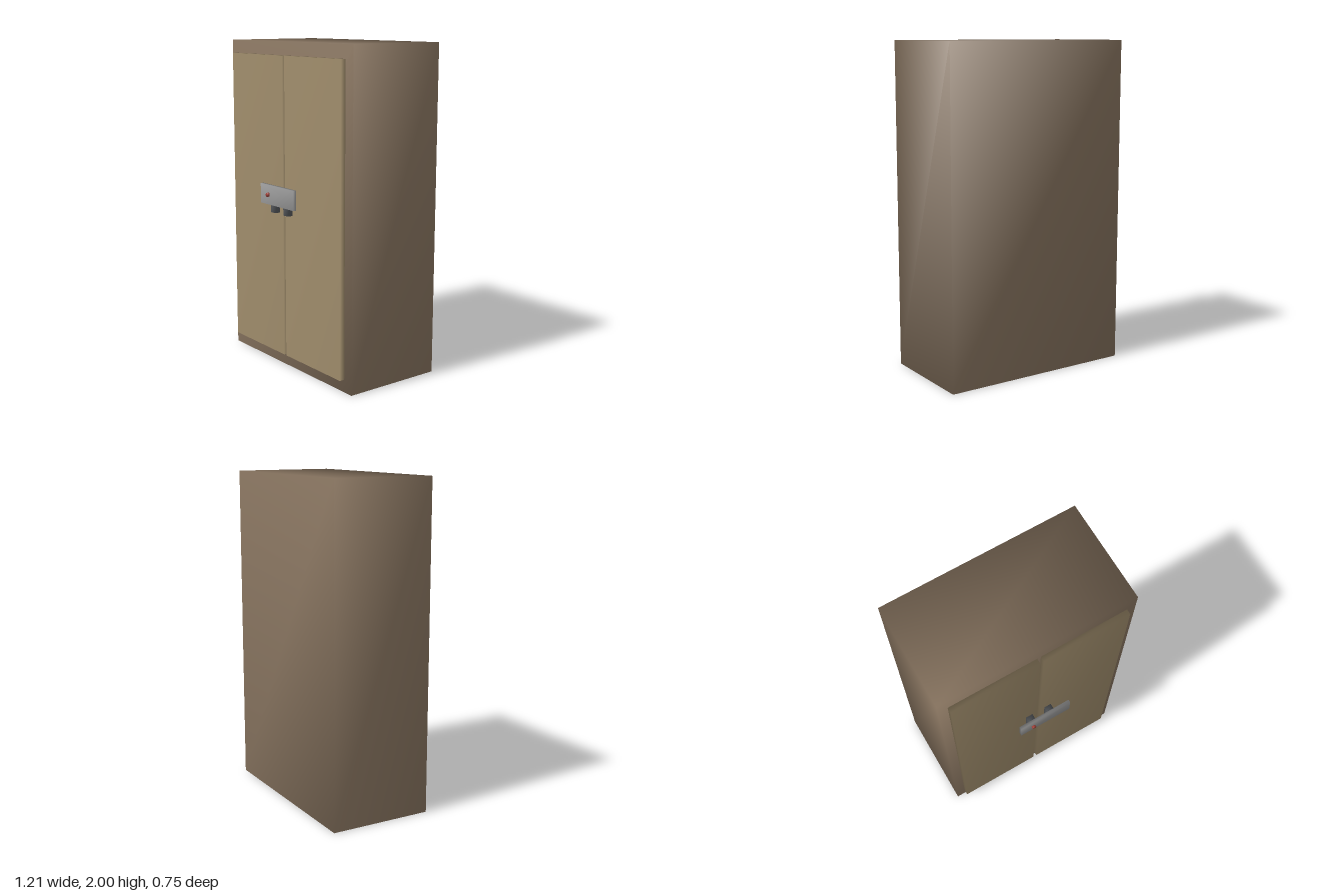
import * as THREE from 'three';
import { mergeVertices } from 'three/addons/utils/BufferGeometryUtils.js';

// Share corners so normals blend softly across the edges
function soften(geometry) {
  geometry.deleteAttribute('normal');
  geometry.deleteAttribute('uv');
  const merged = mergeVertices(geometry);
  merged.computeVertexNormals();
  return merged;
}

export function createModel() {
  const model = new THREE.Group();
  model.name = 'cabinet';

  const paint = (color) => new THREE.MeshStandardMaterial({ color });
  const wood = paint(0x8b7762);
  const doorWood = paint(0xa08d6c);
  const darkMetal = paint(0x55585c);
  const steel = paint(0x9a9a9a);
  const red = paint(0xa04038);

  // Box given by its extents on each axis
  function addBox(name, [x0, x1], [y0, y1], [z0, z1], material) {
    const geometry = soften(new THREE.BoxGeometry(x1 - x0, y1 - y0, z1 - z0));
    const mesh = new THREE.Mesh(geometry, material);
    mesh.name = name;
    mesh.position.set((x0 + x1) / 2, (y0 + y1) / 2, (z0 + z1) / 2);
    model.add(mesh);
  }

  // Cabinet body
  addBox('body', [-0.605, 0.605], [0, 2], [-0.375, 0.26], wood);

  // Pair of doors, each with a handle near the middle gap
  for (const [label, side] of [['left', 1], ['right', -1]]) {
    const span = (a, b) => [side * a, side * b].sort((p, q) => p - q).map((x) => x - 0.002);
    addBox(label + 'Door', span(0.011, 0.546), [0.08, 1.92], [0.265, 0.297], doorWood);
    addBox(label + 'Handle', span(0.042, 0.086), [0.977, 1.107], [0.297, 0.333], darkMetal);
  }

  // Locking bar across both handles
  addBox('lockBar', [-0.158, 0.181], [1.03, 1.15], [0.34, 0.36], steel);

  // Small indicator on the bar
  const light = new THREE.Mesh(soften(new THREE.CylinderGeometry(0.0125, 0.0125, 0.013, 16)), red);
  light.name = 'indicatorLight';
  light.rotation.x = Math.PI / 2;
  light.position.set(-0.074, 1.09, 0.3665);
  model.add(light);

  return model;
}
